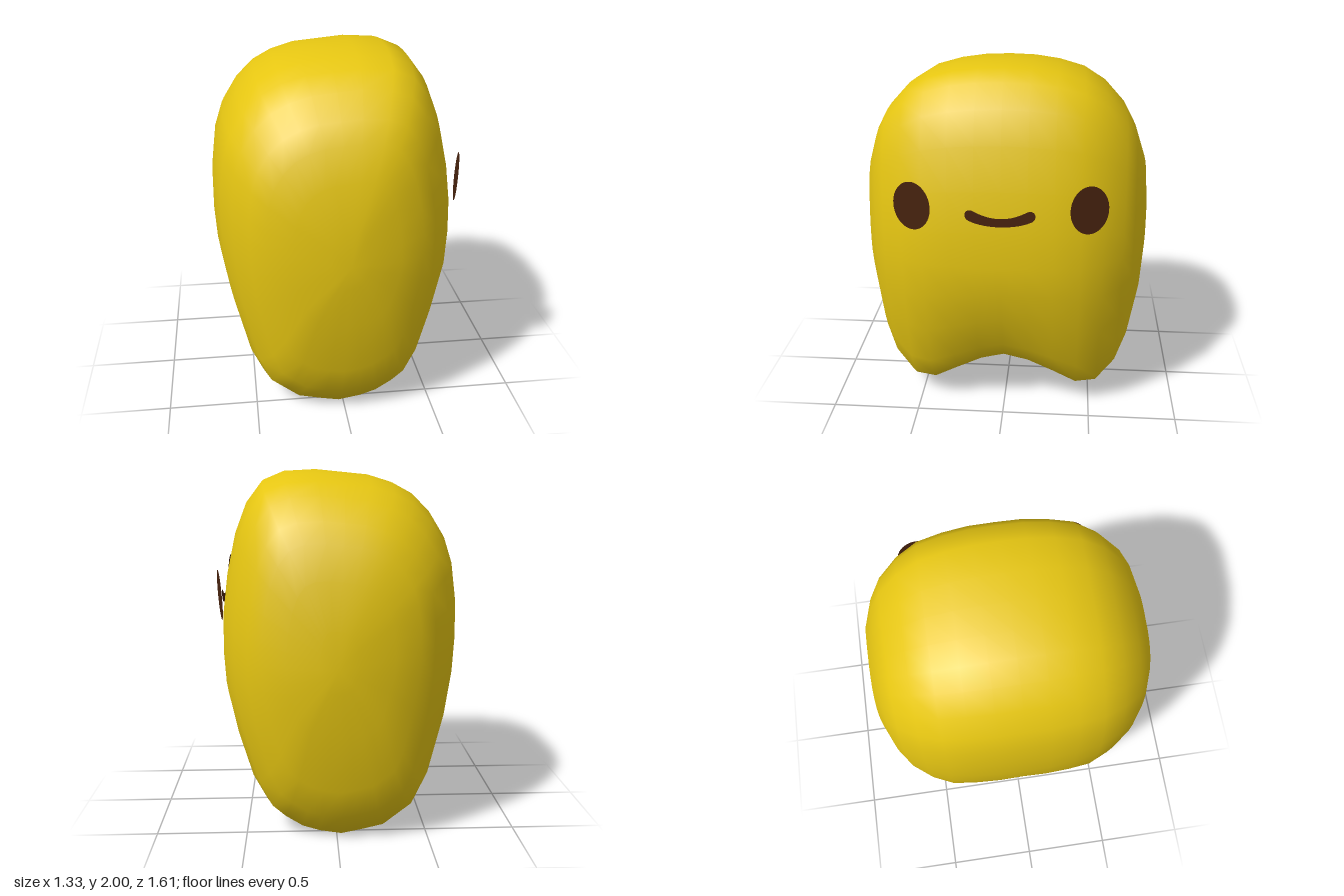
import * as THREE from 'three';
import { mergeVertices } from 'three/addons/utils/BufferGeometryUtils.js';

// Cross-section (x, y), counter-clockwise seen from +z, starting at the bottom
const PROFILE = [
  [-0.03, 0], [0.11, 0.02], [0.22, 0.05], [0.33, 0.11], [0.41, 0.17], [0.49, 0.31], [0.57, 0.56],
  [0.625, 0.8], [0.637, 1], [0.632, 1.2], [0.605, 1.42], [0.555, 1.65], [0.49, 1.82], [0.4, 1.94],
  [0.28, 1.99], [0.1, 2], [-0.05, 1.985], [-0.2, 1.97], [-0.33, 1.93], [-0.44, 1.87], [-0.54, 1.77],
  [-0.62, 1.64], [-0.665, 1.5], [-0.69, 1.3], [-0.692, 1.1], [-0.68, 0.9], [-0.64, 0.65],
  [-0.55, 0.31], [-0.48, 0.17], [-0.39, 0.11], [-0.3, 0.05], [-0.15, 0.02],
];

// Half of the body, from the middle outwards: z, width factor, top y, bottom y
const STATIONS = [
  [0, 1, 2, 0.21], [0.14, 1, 1.995, 0.17], [0.28, 0.98, 1.975, 0.09], [0.42, 0.945, 1.935, 0.003],
  [0.54, 0.86, 1.86, 0.005], [0.65, 0.74, 1.74, 0.14], [0.71, 0.62, 1.63, 0.31],
  [0.77, 0.42, 1.45, 0.63], [0.797, 0.15, 1.2, 0.87], [0.805, 0, 1, 1],
];

// Loft the cross-section along z; the bottom rises in the middle to part the two legs
function bodyGeometry() {
  const rows = [
    ...STATIONS.slice(1).reverse().map(([z, ...rest]) => [-z, ...rest]),
    ...STATIONS,
  ];
  const n = PROFILE.length;
  const positions = [];
  const index = [];
  rows.forEach(([z, w, top, bottom], i) => {
    for (const [x, y] of PROFILE) {
      const stretch = y > 1 ? top - 1 : 1 - bottom;
      positions.push(x * w, 1 + (y - 1) * stretch, z);
    }
    if (i === rows.length - 1) return;
    for (let j = 0; j < n; j++) {
      const a = i * n + j, b = i * n + (j + 1) % n;
      index.push(a, b, b + n, a, b + n, a + n);
    }
  });
  let geometry = new THREE.BufferGeometry();
  geometry.setAttribute('position', new THREE.Float32BufferAttribute(positions, 3));
  geometry.setIndex(index);
  geometry = mergeVertices(geometry, 1e-5);
  geometry.computeVertexNormals();
  return geometry;
}

// Smile with round, slightly thicker ends
function mouthGeometry() {
  const s = new THREE.Shape();
  s.moveTo(-0.165, 1.272);
  s.bezierCurveTo(-0.08, 1.228, 0.08, 1.228, 0.165, 1.272);
  s.bezierCurveTo(0.2, 1.295, 0.18, 1.345, 0.14, 1.326);
  s.bezierCurveTo(0.05, 1.272, -0.05, 1.272, -0.14, 1.326);
  s.bezierCurveTo(-0.18, 1.345, -0.2, 1.295, -0.165, 1.272);
  return new THREE.ShapeGeometry(s, 10);
}

export function createModel() {
  const yellow = new THREE.MeshStandardMaterial({ color: 0xe6c612 });
  const brown = new THREE.MeshStandardMaterial({ color: 0x4a240f, side: THREE.DoubleSide });
  yellow.name = 'yellow';
  brown.name = 'darkBrown';

  const model = new THREE.Group();
  model.name = 'toothCharacter';
  const add = (name, geometry, material) => {
    const mesh = new THREE.Mesh(geometry, material);
    mesh.name = name;
    model.add(mesh);
    return mesh;
  };

  add('body', bodyGeometry(), yellow);

  // Face on the +x side
  const mouth = add('mouth', mouthGeometry(), brown);
  mouth.rotation.y = Math.PI / 2;
  mouth.position.x = 0.634;

  for (const side of [1, -1]) {
    const eye = add(side > 0 ? 'frontEye' : 'backEye', new THREE.CircleGeometry(1, 40), brown);
    eye.scale.set(0.1, 0.135, 1);
    eye.rotation.order = 'YXZ';
    eye.rotation.set(0.06, Math.PI / 2 - side * 0.2, 0);
    eye.position.set(0.62, 1.34, side * 0.458);
  }
  return model;
}
